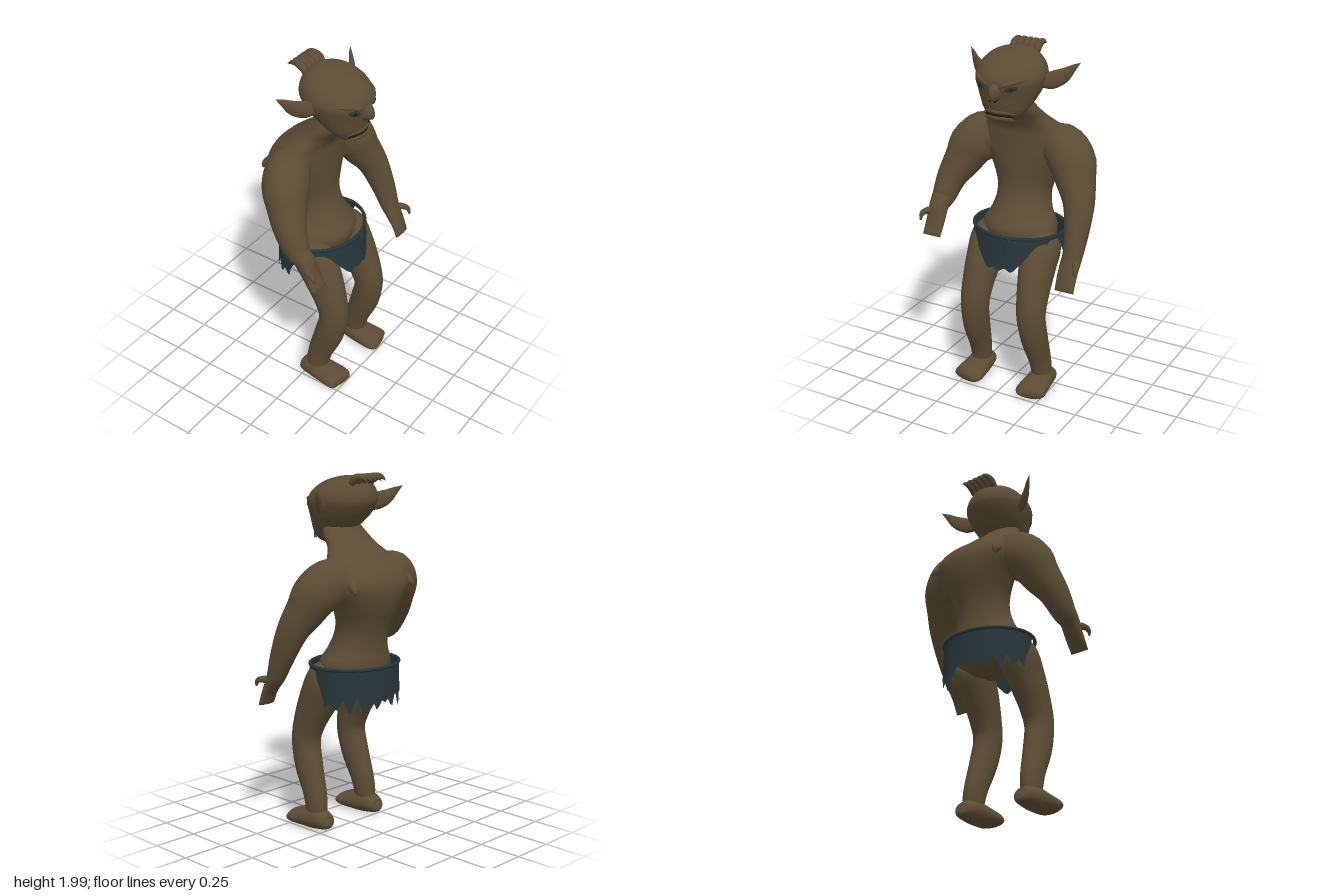
import * as THREE from 'three';

const mat = (name, color, side = THREE.FrontSide) => {
  const m = new THREE.MeshStandardMaterial({ color, side });
  m.name = name;
  return m;
};
const X = new THREE.Vector3(1, 0, 0), Y = new THREE.Vector3(0, 1, 0), Z = new THREE.Vector3(0, 0, 1);

// Smooth body through rows [x, y, z, radius along ref, other radius]; "fixed" keeps every ring facing that way
function loft(rows, ref, { fixed = null, sides = 24, steps = 4 } = {}) {
  const path = new THREE.CatmullRomCurve3(rows.map(r => new THREE.Vector3(r[0], r[1], r[2])), false, 'catmullrom', 0.5);
  const size = new THREE.CatmullRomCurve3(rows.map(r => new THREE.Vector3(r[3], r[4], 0)), false, 'catmullrom', 0.5);
  const n = (rows.length - 1) * steps, pos = [], idx = [];
  const ring = (c, a, b, ra, rb) => {
    for (let j = 0; j < sides; j++) {
      const f = j / sides * Math.PI * 2;
      const p = c.clone().addScaledVector(a, Math.cos(f) * ra).addScaledVector(b, Math.sin(f) * rb);
      pos.push(p.x, p.y, p.z);
    }
  };
  for (let i = 0; i <= n; i++) {
    const c = path.getPoint(i / n), r = size.getPoint(i / n);
    const t = fixed || path.getTangent(i / n);
    const a = ref.clone().addScaledVector(t, -ref.dot(t)).normalize();
    const b = t.clone().cross(a);
    const ra = Math.max(r.x, 0.0005), rb = Math.max(r.y, 0.0005);
    if (i === 0) ring(c, a, b, 0, 0);
    ring(c, a, b, ra, rb);
    if (i === n) ring(c, a, b, 0, 0);
  }
  for (let i = 0; i < n + 2; i++) for (let j = 0; j < sides; j++) {
    const k = (j + 1) % sides, p = i * sides, q = p + sides;
    idx.push(p + j, p + k, q + k, p + j, q + k, q + j);
  }
  const g = new THREE.BufferGeometry();
  g.setAttribute('position', new THREE.Float32BufferAttribute(pos, 3));
  g.setIndex(idx);
  g.computeVertexNormals();
  return g;
}

// Horizontal slices [y, back x, front x, half width]
const slices = rows => loft(rows.map(([y, b, f, w]) => [(b + f) / 2, y, 0, (f - b) / 2, w]), X, { fixed: Y, sides: 40 });

export function createModel() {
  const model = new THREE.Group();
  const skin = mat('skin', 0x5c4c34), cloth = mat('cloth', 0x26353a, THREE.DoubleSide);
  const eyeMat = mat('eye', 0x2b3534), dark = mat('dark', 0x1d1812);
  const add = (name, geo, m = skin) => {
    const mesh = new THREE.Mesh(geo, m);
    mesh.name = name;
    model.add(mesh);
    return mesh;
  };

  // Hunched torso with neck
  add('torso', slices([
    [0.79, -0.10, 0.08, 0.10], [0.86, -0.19, 0.12, 0.19], [0.96, -0.21, 0.15, 0.215], [1.04, -0.21, 0.11, 0.175],
    [1.12, -0.22, 0.07, 0.155], [1.2, -0.245, 0.05, 0.165], [1.3, -0.285, 0.05, 0.21], [1.4, -0.30, 0.05, 0.27],
    [1.48, -0.265, 0.05, 0.27], [1.54, -0.19, 0.055, 0.225], [1.6, -0.12, 0.09, 0.168], [1.66, -0.045, 0.135, 0.147],
    [1.72, 0.02, 0.15, 0.125]]));

  // Head
  add('head', slices([
    [1.612, 0.11, 0.19, 0.045], [1.632, 0.075, 0.213, 0.085], [1.68, 0.03, 0.232, 0.125], [1.72, -0.03, 0.242, 0.147],
    [1.77, -0.085, 0.25, 0.17], [1.83, -0.125, 0.262, 0.19], [1.87, -0.13, 0.247, 0.188], [1.91, -0.118, 0.21, 0.168],
    [1.95, -0.09, 0.145, 0.128], [1.973, -0.05, 0.07, 0.07], [1.98, 0, 0.02, 0.01]]));
  add('nose', loft([[0.225, 1.79, 0, 0.045, 0.06], [0.255, 1.787, 0, 0.036, 0.05], [0.278, 1.78, 0, 0.022, 0.036],
    [0.296, 1.775, 0, 0.006, 0.015]], Z));

  // Mouth
  for (const [name, y, r, m] of [['upperLip', 1.676, 0.01, skin], ['mouthLine', 1.662, 0.009, dark], ['lowerLip', 1.645, 0.013, skin]])
    add(name, loft([[0.195, y - 0.01, -0.092, 0.002, 0.002], [0.219, y, -0.05, r, r], [0.233, y + 0.002, 0, r, r],
      [0.219, y, 0.05, r, r], [0.195, y - 0.01, 0.092, 0.002, 0.002]], Y, { sides: 10 }), m);

  // Five backswept hair locks
  for (let i = -2; i <= 2; i++) {
    const z = i * 0.036;
    add('hairLock', loft([[-0.075, 1.94, z, 0.02, 0.016], [-0.095, 1.965, z, 0.02, 0.024], [-0.13, 1.978, z, 0.016, 0.019],
      [-0.165, 1.972, z, 0.009, 0.011], [-0.192, 1.955, z * 0.97, 0, 0]], Z, { sides: 10 }));
  }

  for (const s of [1, -1]) {
    const side = s > 0 ? 'left' : 'right';
    const part = (name, rows, ref, opt) =>
      add(side + name, loft(rows.map(([x, y, z, a, b]) => [x, y, z * s, a, b]), ref, opt));

    // Pointed ear
    part('Ear', [[0.045, 1.815, 0.16, 0.03, 0.022], [0.02, 1.825, 0.21, 0.048, 0.02], [-0.015, 1.848, 0.26, 0.042, 0.016],
      [-0.05, 1.885, 0.3, 0.02, 0.01], [-0.075, 1.912, 0.332, 0, 0]], Y, { sides: 16 });

    // Eye, pupil, brow and nostril
    const eye = (name, x, h, w, m) => {
      const e = add(side + name, new THREE.SphereGeometry(1, 16, 10), m);
      e.position.set(x, 1.815, s * 0.09);
      e.scale.set(0.008, h, w);
      e.rotation.set(-s * 0.25, -s * 0.52, 0, 'YXZ');
    };
    eye('Eye', 0.236, 0.015, 0.035, eyeMat);
    eye('Pupil', 0.2395, 0.009, 0.01, dark);
    part('Brow', [[0.256, 1.82, 0.025, 0.004, 0.004], [0.243, 1.837, 0.07, 0.012, 0.012],
      [0.21, 1.853, 0.12, 0.01, 0.01], [0.165, 1.858, 0.16, 0.002, 0.002]], Y, { sides: 10 });
    const nostril = add(side + 'Nostril', new THREE.SphereGeometry(0.006, 8, 6), dark);
    nostril.position.set(0.275, 1.748, s * 0.016);

    // Stub on the shoulder blade
    part('ShoulderSpur', [[-0.18, 1.44, 0.19, 0.05, 0.05], [-0.22, 1.42, 0.212, 0.03, 0.03],
      [-0.243, 1.398, 0.221, 0.021, 0.02], [-0.253, 1.378, 0.224, 0.005, 0.005]], Z, { sides: 14 });

    // Arm flowing into a flat square hand; the right forearm hangs lower
    const low = s > 0 ? 0 : 1;
    const wx = 0.185, wy = 1.0 - 0.13 * low;
    part('Arm', [[-0.12, 1.41, 0.1, 0.1, 0.08], [-0.085, 1.43, 0.22, 0.118, 0.13], [-0.045, 1.375, 0.305, 0.125, 0.132],
      [-0.005, 1.285, 0.35, 0.108, 0.11], [0.045, 1.19 - 0.01 * low, 0.395, 0.09, 0.085],
      [0.105, 1.09 - 0.05 * low, 0.415, 0.072, 0.066], [wx - 0.03, wy + 0.05, 0.417, 0.052, 0.056],
      [wx, wy, 0.415, 0.038, 0.056], [wx + 0.035, wy - 0.06, 0.415, 0.021, 0.057],
      [wx + 0.062, wy - 0.105 - 0.022 * low, 0.415, 0.011, 0.056]], X);
    part('Thumb', [[wx - 0.01, wy + 0.02, 0.44, 0.025, 0.025], [wx + 0.03, wy + 0.022, 0.468, 0.019, 0.019],
      [wx + 0.06, wy + 0.012, 0.477, 0.014, 0.014], [wx + 0.073, wy - 0.02, 0.477, 0.005, 0.005]], Z, { sides: 10 });

    // Bent leg
    part('Leg', [[-0.02, 0.93, 0.14, 0.08, 0.07], [0.02, 0.87, 0.16, 0.125, 0.104], [0.085, 0.76, 0.167, 0.12, 0.098],
      [0.15, 0.62, 0.175, 0.097, 0.087], [0.178, 0.5, 0.18, 0.084, 0.08], [0.15, 0.36, 0.187, 0.085, 0.073],
      [0.1, 0.22, 0.193, 0.073, 0.062], [0.08, 0.13, 0.197, 0.066, 0.057], [0.08, 0.06, 0.2, 0.05, 0.05]], X);

    // Foot, broad and sloping to the toes
    part('Foot', [[-0.03, 0.06, 0.2, 0.012, 0.015], [-0.01, 0.058, 0.2, 0.05, 0.042], [0.07, 0.068, 0.2, 0.07, 0.064],
      [0.15, 0.06, 0.2, 0.08, 0.056], [0.215, 0.053, 0.202, 0.088, 0.044], [0.248, 0.048, 0.204, 0.078, 0.031],
      [0.26, 0.046, 0.206, 0.045, 0.014]], Z);
  }

  // Ragged loincloth: long back, tapered front, narrow at the hips
  const N = 240, pos = [], idx = [];
  const saw = (a, k) => Math.abs(((a * k) % 2) - 1);
  const depth = d => {
    if (d < 18) return 0.175 + 0.02 * saw(d, 0.15);
    if (d < 32) return 0.18 - 0.075 * (d - 18) / 14;
    if (d < 52) return 0.105 - 0.035 * (d - 32) / 20;
    if (d < 64) return 0.07 - 0.05 * (d - 52) / 12;
    if (d < 78) return 0.02;
    if (d < 97) return 0.02 + 0.15 * (d - 78) / 19;
    return 0.165 + 0.065 * saw(d, 0.12) + 0.015 * Math.sin(d * 0.3);
  };
  for (let i = 0; i <= N; i++) {
    const a = -Math.PI + i / N * Math.PI * 2, deg = Math.abs(a) * 180 / Math.PI;
    const d = depth(deg), flare = deg < 70 ? 0.55 : 0.15;
    for (let k = 0; k < 3; k++) {
      const f = 1 + flare * d * k / 2;
      pos.push(-0.027 + 0.226 * Math.cos(a) * f, 0.957 - d * k / 2, 0.265 * Math.sin(a) * f);
    }
    if (i < N) for (let k = 0; k < 2; k++) {
      const p = i * 3 + k;
      idx.push(p, p + 3, p + 1, p + 1, p + 3, p + 4);
    }
  }
  const skirt = new THREE.BufferGeometry();
  skirt.setAttribute('position', new THREE.Float32BufferAttribute(pos, 3));
  skirt.setIndex(idx);
  skirt.computeVertexNormals();
  add('loincloth', skirt, cloth);

  // Cord around the waist with two loose ends
  const loop = [];
  for (let i = 0; i < 24; i++) {
    const a = -i / 24 * Math.PI * 2;
    loop.push(new THREE.Vector3(-0.027 + 0.226 * Math.cos(a), 0.956, 0.266 * Math.sin(a)));
  }
  add('waistCord', new THREE.TubeGeometry(new THREE.CatmullRomCurve3(loop, true), 80, 0.01, 8, true), cloth);
  for (const s of [1, -1])
    add('cordEnd', loft([[0.198, 0.955, -0.05, 0.008, 0.008], [0.212, 0.92, -0.05 + s * 0.014, 0.007, 0.007],
      [0.216, 0.865, -0.05 + s * 0.025, 0.004, 0.004]], Z, { sides: 8 }), cloth);

  return model;
}
